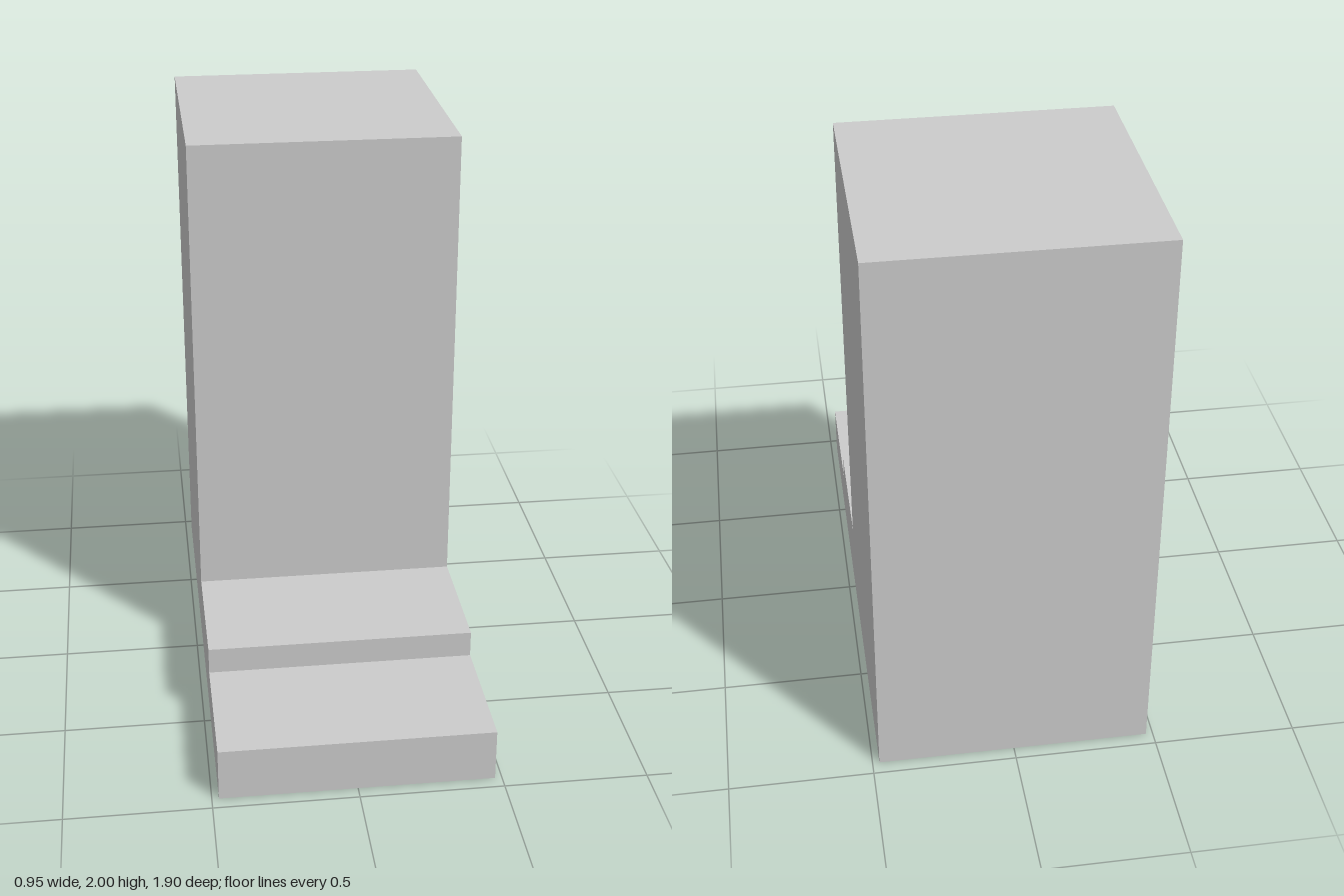
import * as THREE from 'three';

export function createModel() {
  const group = new THREE.Group();
  const material = new THREE.MeshStandardMaterial({ color: 0xcccccc, flatShading: true });
  const half = 0.476; // half the width, and the depth of one step

  // Side profile as (z, y): two low steps in front of a tall block
  const profile = new THREE.Shape([
    [-2 * half, 0], [2 * half, 0],
    [2 * half, 0.19], [half, 0.19],
    [half, 0.286], [0, 0.286],
    [0, 2], [-2 * half, 2],
  ].map(([z, y]) => new THREE.Vector2(z, y)));

  // Extrude across the width, then turn the profile to face +z
  const geometry = new THREE.ExtrudeGeometry(profile, { depth: 2 * half, bevelEnabled: false });
  geometry.translate(0, 0, -half).rotateY(-Math.PI / 2);

  const body = new THREE.Mesh(geometry, material);
  body.name = 'steppedBlock';
  group.add(body);
  return group;
}
